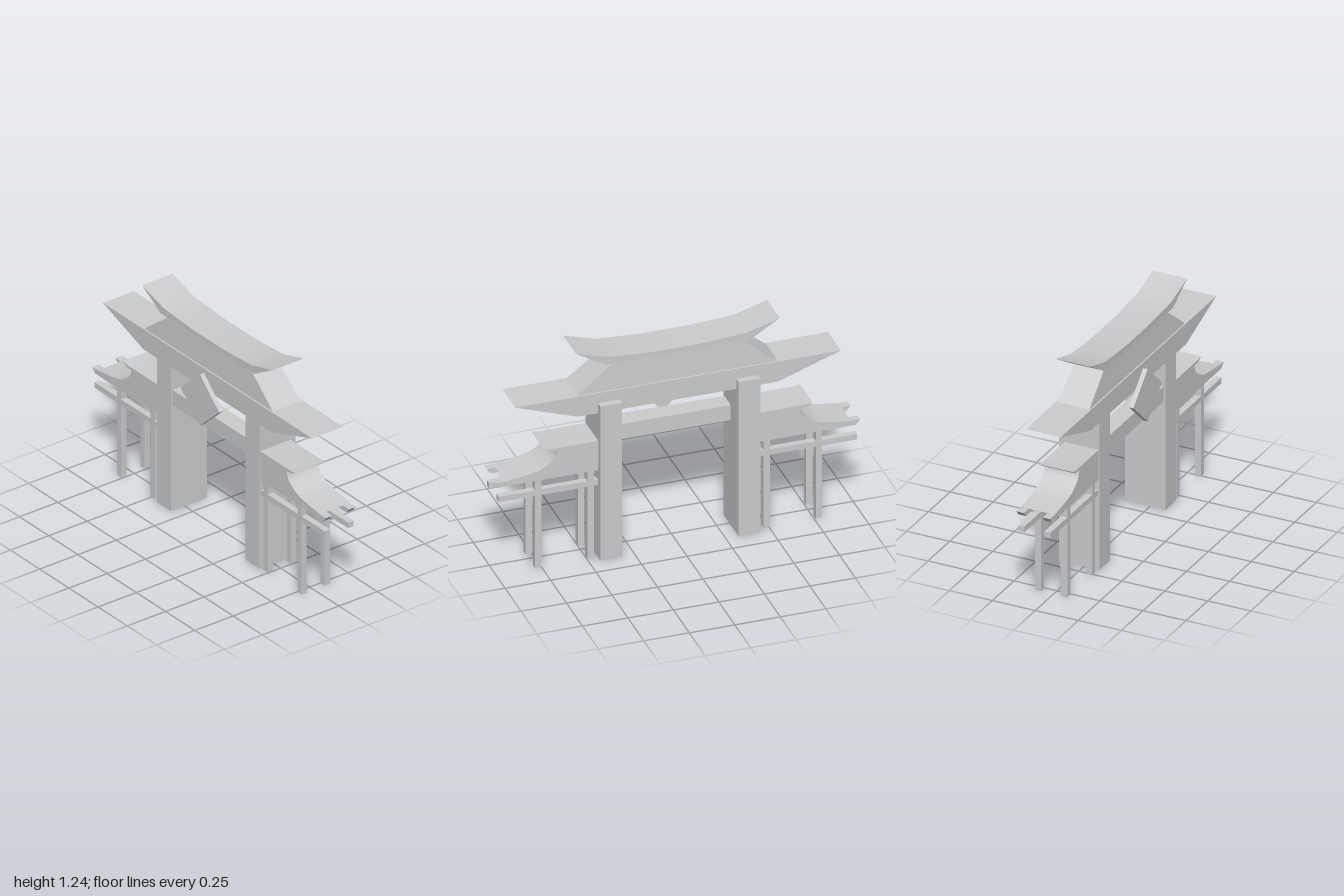
import * as THREE from 'three';
import { toCreasedNormals } from 'three/addons/utils/BufferGeometryUtils.js';

const material = new THREE.MeshStandardMaterial({ color: 0xcccccc });

export function createModel() {
  const model = new THREE.Group();
  model.name = 'gateway';

  function add(name, geometry, parent = model) {
    const mesh = new THREE.Mesh(geometry, material);
    mesh.name = name;
    parent.add(mesh);
    return mesh;
  }

  // Box given by its limits on each axis
  function block(name, x0, x1, y0, y1, z0, z1, parent) {
    const mesh = add(name, new THREE.BoxGeometry(x1 - x0, y1 - y0, z1 - z0), parent);
    mesh.position.set((x0 + x1) / 2, (y0 + y1) / 2, (z0 + z1) / 2);
    return mesh;
  }

  // Front outline pushed through the depth from z0 to z1
  function slab(outline, z0, z1) {
    const shape = outline instanceof THREE.Shape ? outline
      : new THREE.Shape(outline.map(([x, y]) => new THREE.Vector2(x, y)));
    const geometry = new THREE.ExtrudeGeometry(shape, { depth: z1 - z0, bevelEnabled: false, curveSegments: 12 });
    geometry.translate(0, 0, z0);
    return toCreasedNormals(geometry, 0.5);
  }

  // Outline of the right half, listed bottom to top, completed by its mirror image
  const symmetric = (half) => [...half, ...half.slice().reverse().map(([x, y]) => [-x, y])];

  // Main pillars and the beam joining them
  for (const s of [-1, 1]) {
    block('pillar', s * 0.38 - 0.06, s * 0.38 + 0.06, 0, 0.925, -0.145, 0.09);
  }
  block('crossBeam', -0.32, 0.32, 0.63, 0.72, -0.02, 0.08);

  // Stacked main roof
  add('lowerRoof', slab(symmetric([[0.55, 0.865], [0.895, 0.985]]), -0.108, 0.095));

  const middle = slab(symmetric([[0.55, 0.985], [0.345, 1.147]]), -0.098, 0.087);
  const p = middle.attributes.position;
  for (let i = 0; i < p.count; i++) {
    // Lean the front and back faces slightly inward
    const t = (p.getY(i) - 0.985) / 0.162;
    p.setZ(i, p.getZ(i) - Math.sign(p.getZ(i)) * 0.009 * t);
  }
  middle.computeVertexNormals();
  add('middleRoof', middle);

  add('topRoof', slab(symmetric([
    [0.40, 1.146], [0.56, 1.242], [0.38, 1.189], [0.25, 1.18], [0.12, 1.173],
  ]), -0.105, 0.095));

  // Diamond plaque hanging in front
  add('diamondPlaque', slab([[0.003, 0.676], [0.168, 0.829], [0.003, 0.982], [-0.162, 0.829]], 0.121, 0.147));

  // Side wings: curved roof carried by two rows of rails and posts
  for (const s of [-1, 1]) {
    const wing = new THREE.Group();
    wing.name = s > 0 ? 'leftWing' : 'rightWing';
    model.add(wing);
    const m = (points) => points.map(([x, y]) => [s * x, y]);

    // Concave sweep from the cap down to the eaves
    const sweep = new THREE.SplineCurve([
      [0.95, 0.555], [0.8, 0.575], [0.73, 0.6], [0.68, 0.64], [0.662, 0.685],
    ].map(([x, y]) => new THREE.Vector2(x, y))).getPoints(16).map((v) => [v.x, v.y]);
    add('wingRoof', slab(m([[0.44, 0.548], [0.94, 0.548], ...sweep, [0.44, 0.685]]), -0.112, 0.086), wing);

    add('wingRoofCap', slab(m([
      [0.44, 0.684], [0.705, 0.684], [0.738, 0.706], [0.70, 0.7], [0.44, 0.7],
    ]), -0.112, 0.086), wing);

    for (const z of [-0.0885, 0.0635]) {
      add('eaveRail', slab(m([[0.44, 0.524], [0.976, 0.524], [1, 0.553], [0.44, 0.55]]), z - 0.0215, z + 0.0215), wing);
      const rail = [s * 0.44, s * 0.985].sort((a, b) => a - b);
      block('lowerRail', rail[0], rail[1], 0.433, 0.466, z - 0.0175, z + 0.0175, wing);
      for (const x of [0.484, 0.771]) {
        const cx = s * x - 0.004;
        block('post', cx - 0.0175, cx + 0.0175, 0, 0.53, z - 0.0175, z + 0.0175, wing);
      }
    }
  }

  return model;
}
